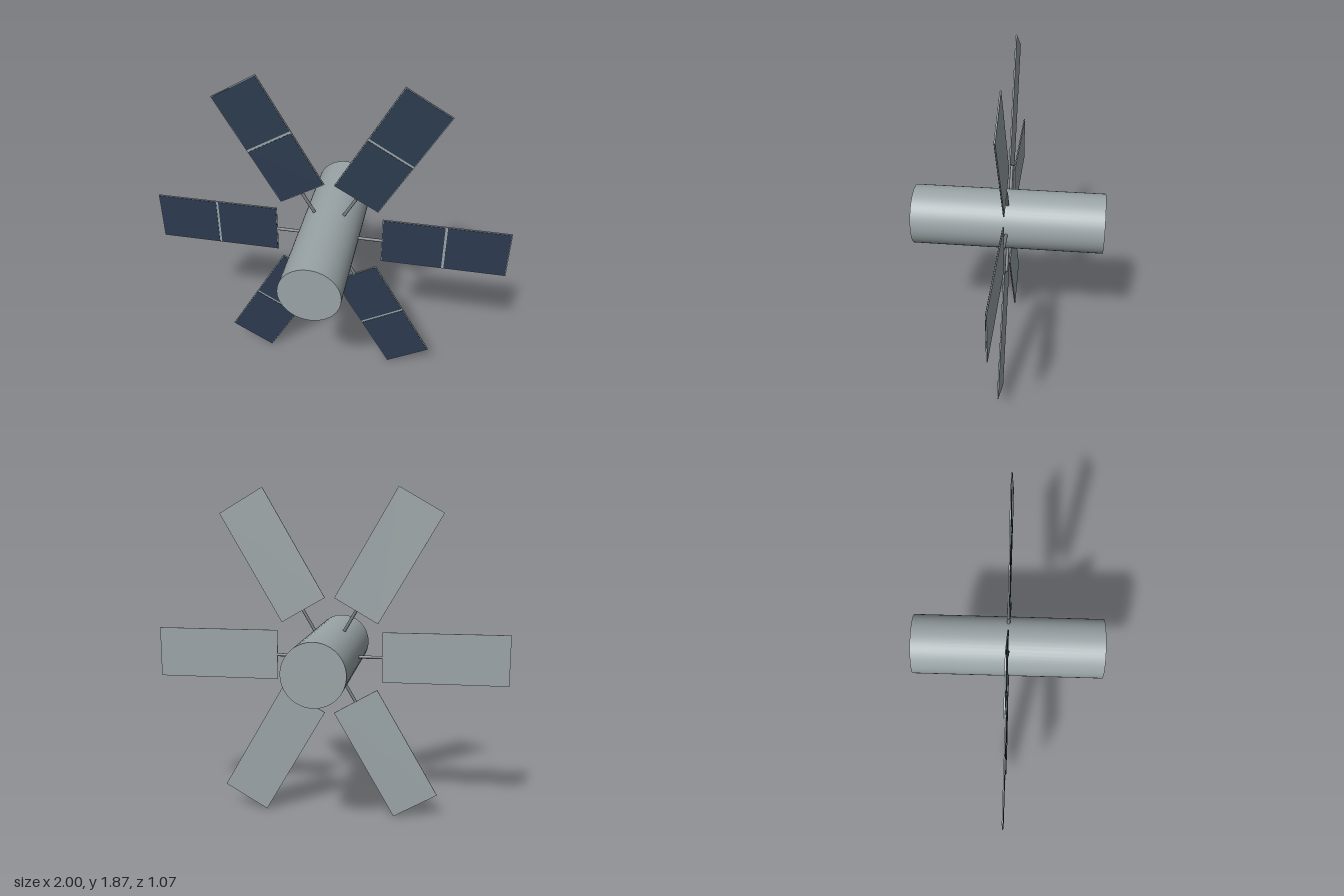
import * as THREE from 'three';

const CENTER_Y = 0.937;
const BODY_RADIUS = 0.168, BODY_LENGTH = 1.07;
const INNER = 0.3, OUTER = 1.0, PANEL_WIDTH = 0.285, PANEL_DEPTH = 0.006;
const BORDER = 0.004, GAP = 0.013, CELL_DEPTH = 0.002;

function material(name, color) {
  const m = new THREE.MeshStandardMaterial({ color });
  m.name = name;
  return m;
}

export function createModel() {
  const hull = material('hull grey', 0x9aa4a7);
  const strutGrey = material('strut grey', 0x737b7e);
  const cellBlue = material('solar cell blue', 0x2c3b4f);

  const model = new THREE.Group();
  model.name = 'satellite';

  function add(parent, name, geometry, mat, x = 0, y = 0, z = 0) {
    const mesh = new THREE.Mesh(geometry, mat);
    mesh.name = name;
    mesh.position.set(x, y, z);
    parent.add(mesh);
    return mesh;
  }

  // Cylindrical body lying along z
  const bodyGeo = new THREE.CylinderGeometry(BODY_RADIUS, BODY_RADIUS, BODY_LENGTH, 48).rotateX(Math.PI / 2);
  add(model, 'body', bodyGeo, hull, 0, CENTER_Y, 0);

  // Shared geometry for one wing, pointing along +x
  const strutStart = BODY_RADIUS - 0.03;
  const strutLength = INNER + 0.002 - strutStart;
  const strutGeo = new THREE.CylinderGeometry(0.009, 0.009, strutLength, 12).rotateZ(Math.PI / 2);
  const panelLength = OUTER - INNER;
  const panelMid = (INNER + OUTER) / 2;
  const panelGeo = new THREE.BoxGeometry(panelLength, PANEL_WIDTH, PANEL_DEPTH);
  const cellLength = (panelLength - GAP) / 2 - BORDER;
  const cellGeo = new THREE.BoxGeometry(cellLength, PANEL_WIDTH - 2 * BORDER, CELL_DEPTH);

  // Six wings spread evenly around the body
  for (let i = 0; i < 6; i++) {
    const wing = new THREE.Group();
    wing.name = 'solarWing' + (i + 1);
    wing.position.y = CENTER_Y;
    wing.rotation.z = i * Math.PI / 3;
    add(wing, 'strut', strutGeo, strutGrey, strutStart + strutLength / 2);
    add(wing, 'panelFrame', panelGeo, hull, panelMid);
    // Two dark cells on the front face only
    for (const side of [-1, 1]) {
      add(wing, side < 0 ? 'innerCell' : 'outerCell', cellGeo, cellBlue,
        panelMid + side * (GAP + cellLength) / 2, 0, PANEL_DEPTH / 2 + CELL_DEPTH / 2 - 0.0002);
    }
    model.add(wing);
  }
  return model;
}
